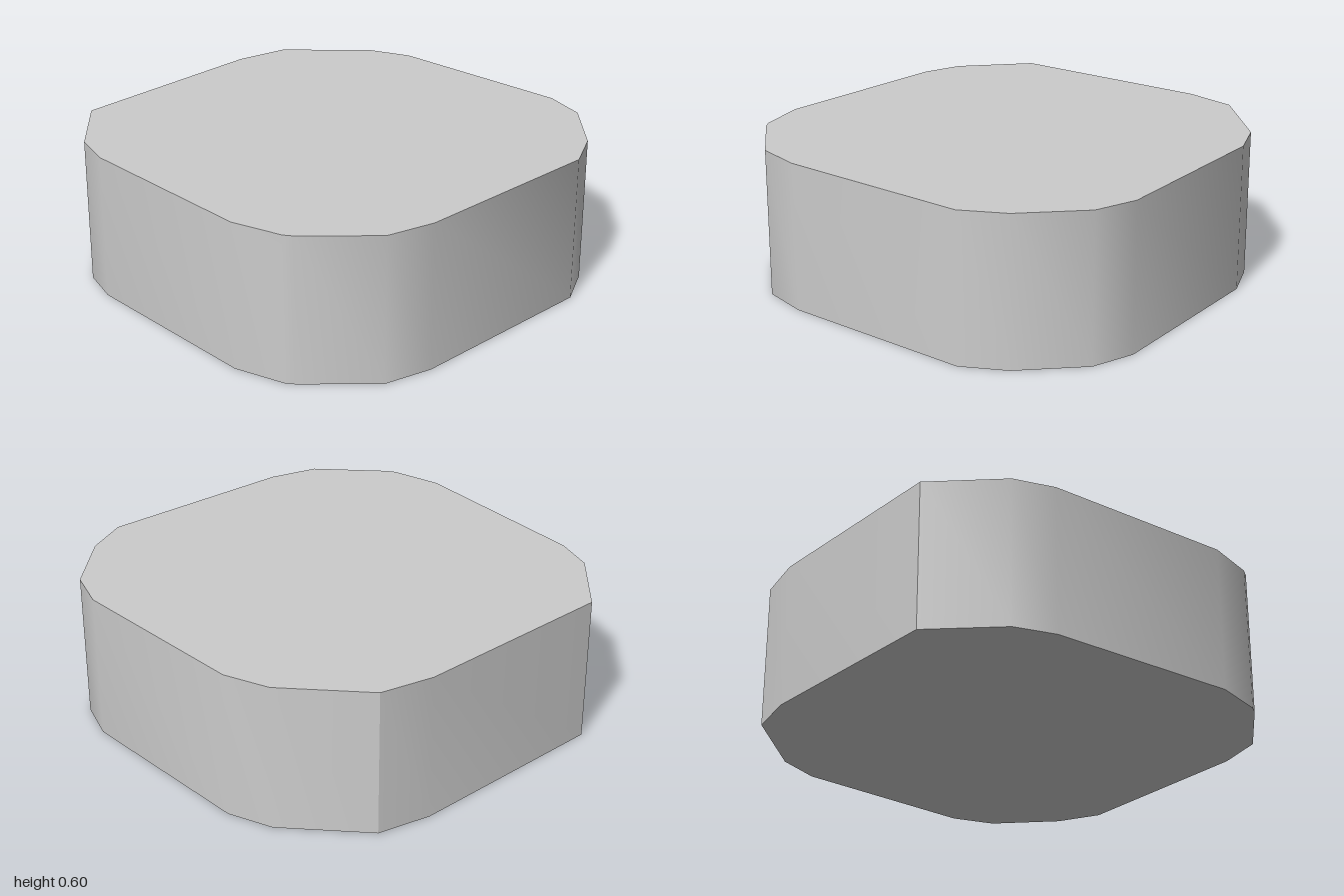
import * as THREE from 'three';
import { toCreasedNormals } from 'three/addons/utils/BufferGeometryUtils.js';

// Outline of the slab seen from above, as [x, z]
const outline = [
  [-0.225, -0.967], [0.165, -0.96], [0.34, -0.885], [0.915, -0.355],
  [1, -0.19], [1, 0.11], [0.94, 0.295], [0.35, 0.86],
  [0.175, 0.963], [-0.15, 0.963], [-0.19, 0.955], [-0.375, 0.848],
  [-0.91, 0.26], [-0.988, 0.105], [-1, -0.23], [-0.41, -0.845],
];
const HEIGHT = 0.6;

export function createModel() {
  const group = new THREE.Group();
  group.name = 'roundedSlab';

  // Upright prism with softly shaded sides and flat caps
  const shape = new THREE.Shape(outline.map(([x, z]) => new THREE.Vector2(x, -z)));
  const prism = new THREE.ExtrudeGeometry(shape, { depth: HEIGHT, bevelEnabled: false });
  prism.rotateX(-Math.PI / 2);

  const slab = new THREE.Mesh(
    toCreasedNormals(prism, THREE.MathUtils.degToRad(32)),
    new THREE.MeshStandardMaterial({ color: 0xcccccc })
  );
  slab.name = 'slab';
  group.add(slab);
  return group;
}
